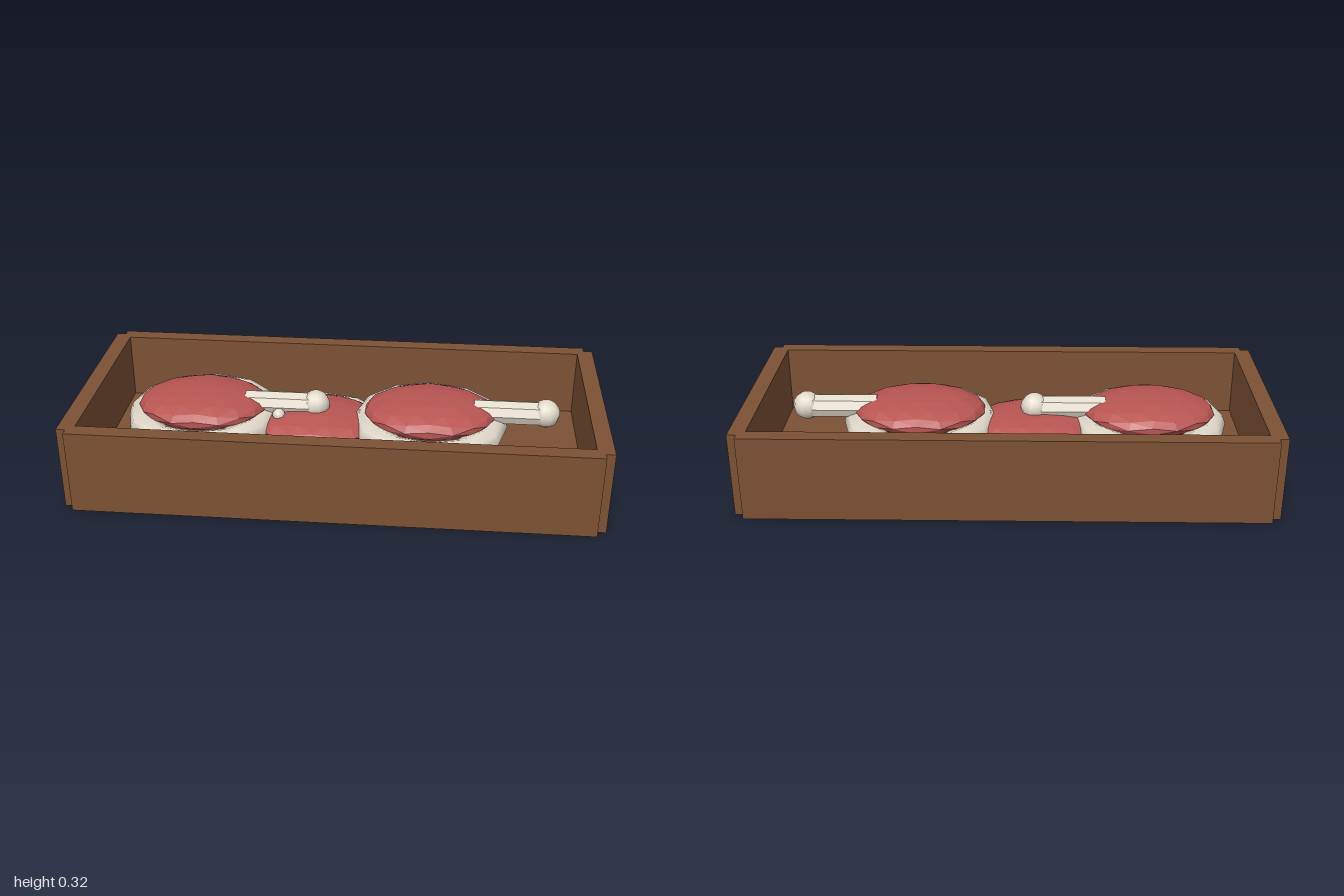
import * as THREE from 'three';

const wood = new THREE.MeshStandardMaterial({ color: 0x7c5134 });
wood.name = 'brown wood';
const meat = new THREE.MeshStandardMaterial({ color: 0xb85552, flatShading: true });
meat.name = 'red meat';
const fat = new THREE.MeshStandardMaterial({ color: 0xe2dacb });
fat.name = 'cream fat and bone';

function add(parent, name, geometry, material, x, y, z) {
  const mesh = new THREE.Mesh(geometry, material);
  mesh.name = name;
  mesh.position.set(x, y, z);
  parent.add(mesh);
  return mesh;
}

// One cut: domed meat in a ring of fat, with a knobbed bone towards +x
function createCut(name, x, y) {
  const cut = new THREE.Group();
  cut.name = name;
  cut.position.set(x, y, 0);
  const ring = new THREE.TorusGeometry(0.25, 0.053, 8, 12).rotateX(Math.PI / 2);
  add(cut, 'fatRing', ring, fat, 0, -0.055, 0);
  const dome = new THREE.IcosahedronGeometry(1, 2).scale(0.255, 0.065, 0.205);
  add(cut, 'meat', dome, meat, 0, 0, 0);
  const shaft = new THREE.CylinderGeometry(0.047, 0.047, 0.28, 8).toNonIndexed();
  shaft.computeVertexNormals();
  shaft.rotateZ(Math.PI / 2);
  add(cut, 'boneShaft', shaft, fat, 0.31, 0.01, 0);
  add(cut, 'boneKnob', new THREE.SphereGeometry(0.055, 10, 8), fat, 0.445, 0.012, 0);
  return cut;
}

export function createModel() {
  const model = new THREE.Group();
  model.name = 'crateOfMeat';

  // Open crate with overlapping corners
  const crate = new THREE.Group();
  crate.name = 'crate';
  model.add(crate);
  const H = 0.325;
  add(crate, 'floor', new THREE.BoxGeometry(1.92, 0.06, 0.84), wood, 0, 0.03, 0);
  for (const s of [-1, 1]) {
    add(crate, s > 0 ? 'frontWall' : 'backWall',
      new THREE.BoxGeometry(1.93, H, 0.063), wood, 0, H / 2, s * 0.4265);
    add(crate, s > 0 ? 'leftWall' : 'rightWall',
      new THREE.BoxGeometry(0.063, H, 0.856), wood, s * 0.9685, H / 2, 0);
  }

  // Three overlapping cuts, the middle one lower
  model.add(createCut('rightCut', -0.545, 0.24));
  model.add(createCut('middleCut', -0.1, 0.175));
  model.add(createCut('leftCut', 0.345, 0.24));

  // Small loose piece of bone
  add(model, 'boneChip', new THREE.SphereGeometry(0.026, 8, 6), fat, -0.24, 0.225, 0.055);
  return model;
}
